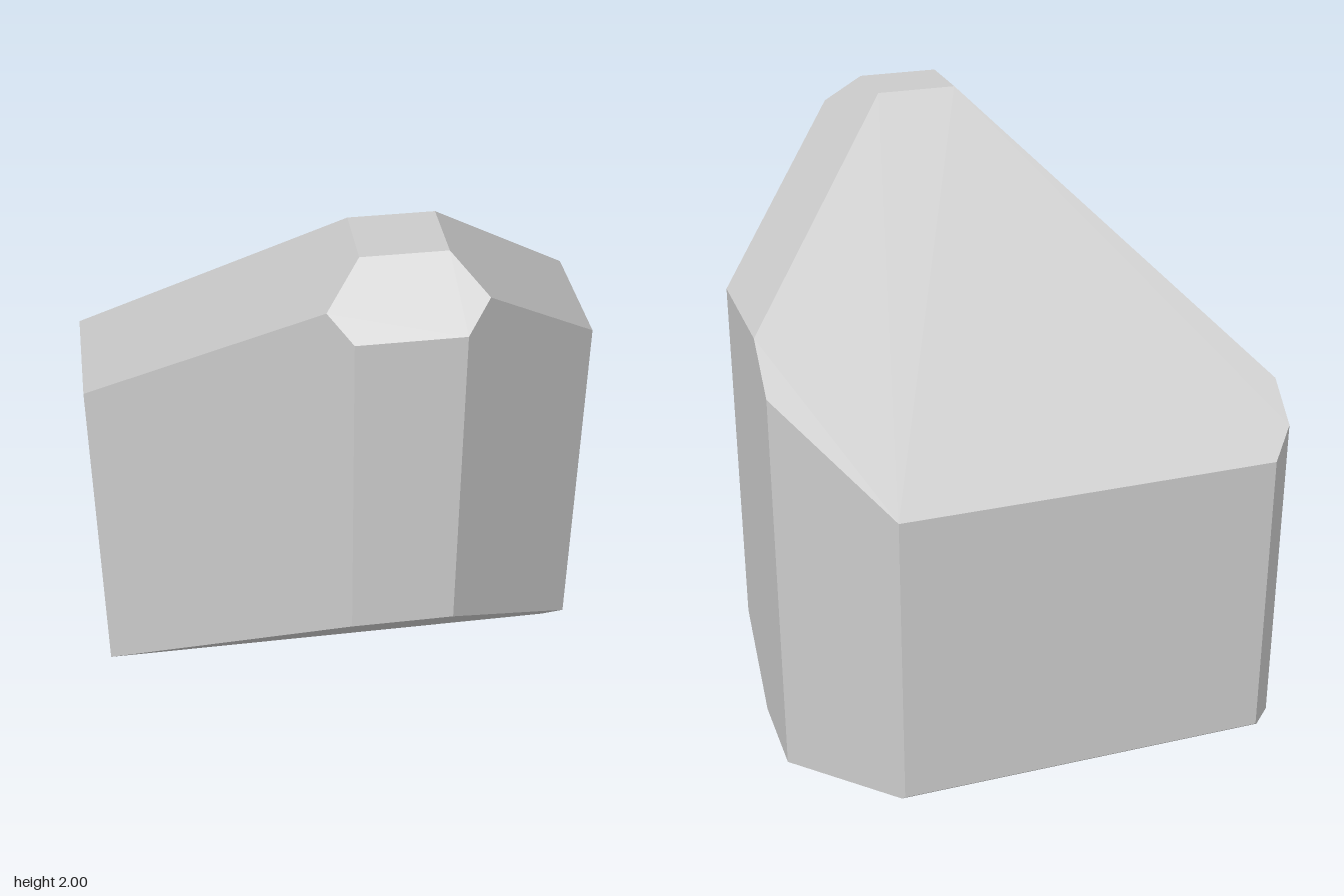
import * as THREE from 'three';
import { ConvexGeometry } from 'three/addons/geometries/ConvexGeometry.js';

// Each plane is [nx, ny, nz, limit]: the solid keeps nx*x + ny*y + nz*z <= limit
const PLANES = [
  // bounding box
  [1, 0, 0, 0.807], [-1, 0, 0, 0.807],
  [0, 1, 0, 2], [0, -1, 0, 0],
  [0, 0, 1, 0.697], [0, 0, -1, 0.697],
  // upright corner bevels
  [1, 0, 1, 0.978], [-1, 0, 1, 0.735],
  [1, 0, -1, 1.195], [-1, 0, -1, 1.425],
  // sloping roof, nose, undercut and thin lower back bevel
  [0, 1, -1, 1.697], [0, 1, 1, 2.522],
  [0, -1, 1, -0.077], [0, -1, -1, 0.688],
  // side roof bevels
  [-1, 1, 0, 2], [1, 1, 0, 2.255],
];

// Corners of the solid: plane triples whose meeting point lies inside all planes
function corners(planes) {
  const points = [];
  const n = planes.length;
  for (let i = 0; i < n; i++)
    for (let j = i + 1; j < n; j++)
      for (let k = j + 1; k < n; k++) {
        const [a, b, c] = [planes[i], planes[j], planes[k]];
        const m = new THREE.Matrix3().set(
          a[0], a[1], a[2], b[0], b[1], b[2], c[0], c[1], c[2]);
        if (Math.abs(m.determinant()) < 1e-6) continue;
        const p = new THREE.Vector3(a[3], b[3], c[3]).applyMatrix3(m.invert());
        const inside = planes.every(
          (q) => q[0] * p.x + q[1] * p.y + q[2] * p.z <= q[3] + 1e-6);
        if (inside && !points.some((o) => o.distanceTo(p) < 1e-4)) points.push(p);
      }
  return points;
}

export function createModel() {
  const group = new THREE.Group();
  group.name = 'bevelledBlock';
  const material = new THREE.MeshStandardMaterial({ color: 0xcccccc, flatShading: true });
  const block = new THREE.Mesh(new ConvexGeometry(corners(PLANES)), material);
  block.name = 'block';
  group.add(block);
  return group;
}
